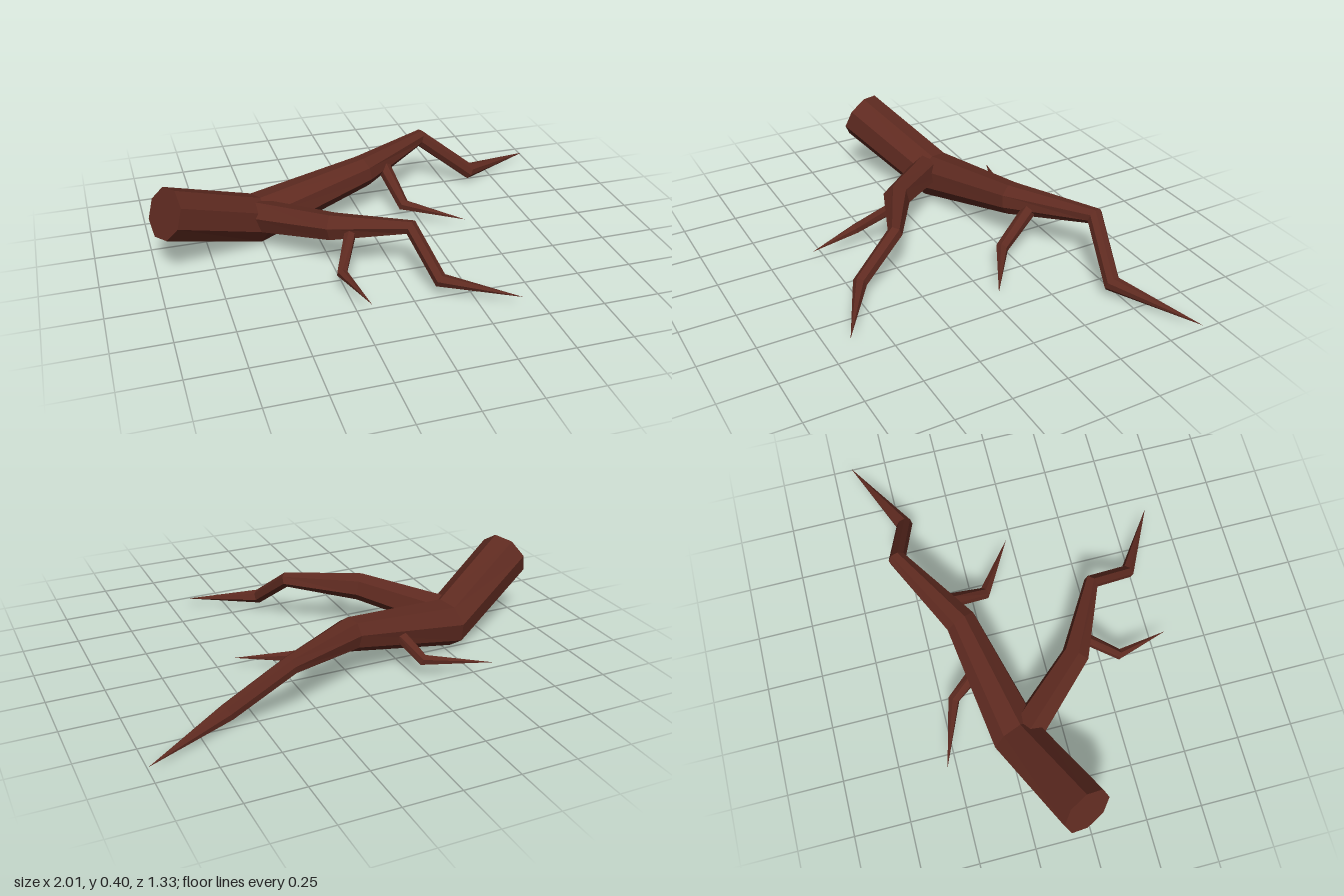
import * as THREE from 'three';

// Sweep a faceted tube through [x, y, z, radius] joints; radius 0 ends in a point.
function limbGeometry(joints, sides, turn = 0) {
  const points = joints.map(j => new THREE.Vector3(j[0], j[1], j[2]));
  const up = new THREE.Vector3(0, 1, 0);
  const last = points.length - 1;
  const rings = points.map((p, i) => {
    // Mitre each ring half way between its two segments
    const t = new THREE.Vector3();
    if (i > 0) t.add(p.clone().sub(points[i - 1]).normalize());
    if (i < last) t.add(points[i + 1].clone().sub(p).normalize());
    t.normalize();
    const side = up.clone().cross(t).normalize();
    const top = t.clone().cross(side);
    return Array.from({ length: sides }, (_, k) => {
      const a = ((k + turn) / sides) * Math.PI * 2 + Math.PI / 2;
      return p.clone()
        .addScaledVector(side, Math.cos(a) * joints[i][3])
        .addScaledVector(top, Math.sin(a) * joints[i][3]);
    });
  });

  const corners = [];
  for (let k = 0; k < sides; k++) {
    const n = (k + 1) % sides;
    corners.push(points[0], rings[0][n], rings[0][k]); // cut end
    for (let i = 0; i < last; i++) {
      const a = rings[i][k], b = rings[i][n], c = rings[i + 1][k], d = rings[i + 1][n];
      corners.push(a, b, d);
      if (joints[i + 1][3] > 0) corners.push(a, d, c);
    }
  }
  const geometry = new THREE.BufferGeometry().setFromPoints(corners);
  geometry.computeVertexNormals();
  return geometry;
}

export function createModel() {
  const bark = new THREE.MeshStandardMaterial({ color: 0x5e2a20, flatShading: true });
  bark.name = 'reddish brown bark';
  const group = new THREE.Group();
  group.name = 'fallenBranch';

  const limbs = [
    // Thick main bough with the sawn end
    { name: 'mainBough', sides: 8, turn: 0.3, joints: [
      [-0.943, 0.3, -0.018, 0.117], [-0.52, 0.112, -0.212, 0.113], [0.02, 0.215, -0.33, 0.074],
      [0.375, 0.248, -0.54, 0.041], [0.62, 0.06, -0.475, 0.039], [1, 0.02, -0.665, 0]] },
    // Fork towards the front
    { name: 'frontFork', sides: 6, turn: 0.25, joints: [
      [-0.51, 0.148, -0.16, 0.077], [-0.25, 0.202, 0.125, 0.063], [0.055, 0.23, 0.28, 0.034],
      [0.12, 0.073, 0.482, 0.032], [0.42, 0.042, 0.66, 0]] },
    // Small twigs
    { name: 'backTwig', sides: 6, joints: [
      [-0.21, 0.18, -0.32, 0.032], [-0.28, 0.082, -0.442, 0.027], [-0.57, 0.055, -0.54, 0]] },
    { name: 'middleTwig', sides: 6, joints: [
      [0.13, 0.22, -0.37, 0.034], [0.18, 0.078, -0.188, 0.029], [0.43, 0.045, -0.025, 0]] },
    { name: 'frontTwig', sides: 6, joints: [
      [-0.18, 0.205, 0.175, 0.027], [-0.265, 0.088, 0.33, 0.024], [-0.205, 0.068, 0.567, 0]] },
  ];
  for (const { name, joints, sides, turn } of limbs) {
    const mesh = new THREE.Mesh(limbGeometry(joints, sides, turn), bark);
    mesh.name = name;
    group.add(mesh);
  }
  return group;
}
